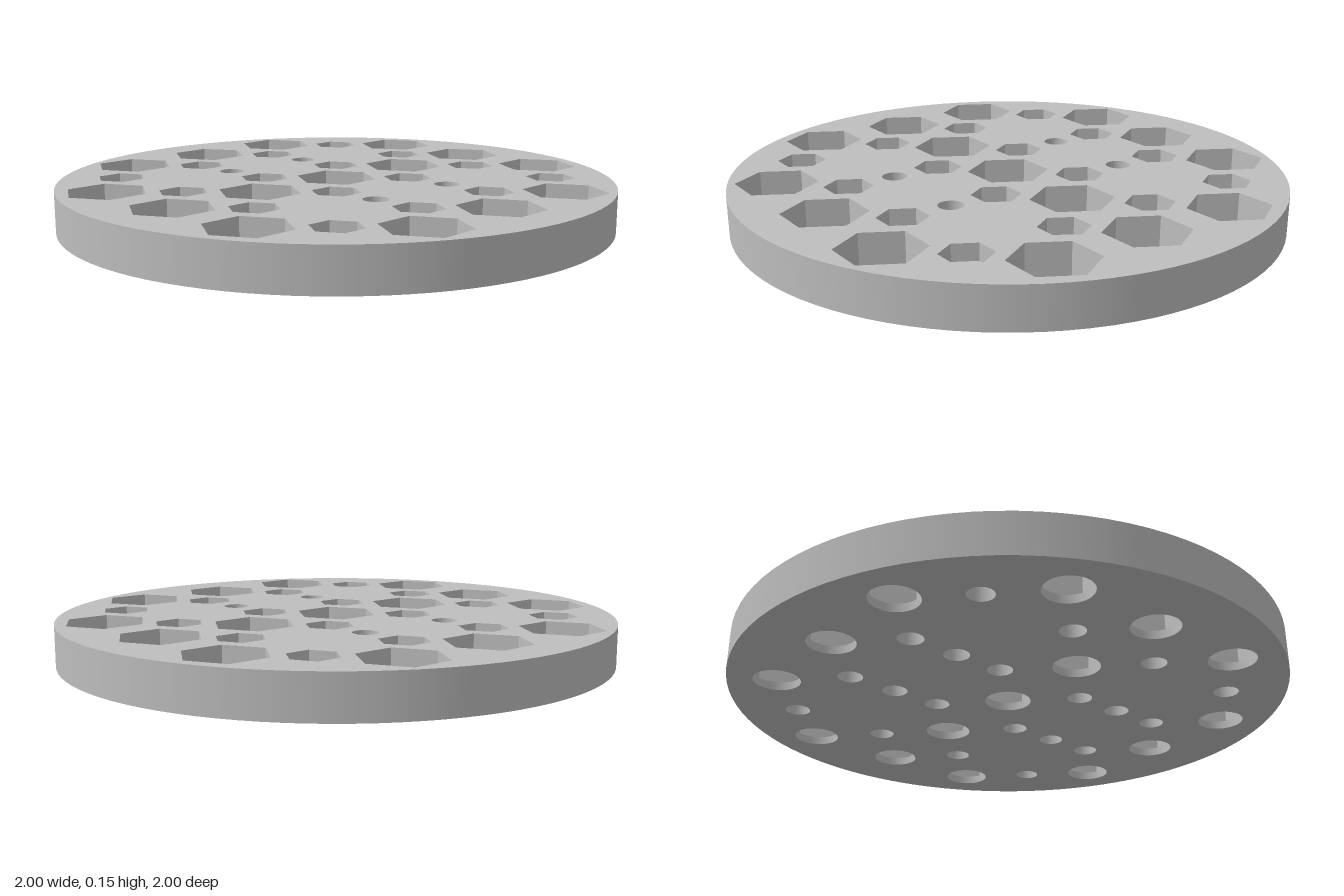
import * as THREE from 'three';
import { mergeGeometries } from 'three/addons/utils/BufferGeometryUtils.js';

const HEIGHT = 0.148, STEP = 0.37, ROUND = 32, RIM = 96;
const LARGE = { hole: 0.083, hex: 0.147, floor: 0.03 };
const SMALL = { hole: 0.045, hex: 0.088, floor: 0.088 };
const PLAIN = { hole: 0.045 };

// Regular polygon with a corner on the x axis
function ring(r, n, cx = 0, cz = 0) {
  return Array.from({ length: n }, (_, i) => {
    const a = (i / n) * Math.PI * 2;
    return new THREE.Vector2(cx + r * Math.cos(a), cz + r * Math.sin(a));
  });
}

// Horizontal face with holes, looking up or down
function plate(outline, holes, y, up = true) {
  const shape = new THREE.Shape(outline);
  shape.holes = holes.map((h) => new THREE.Path(h));
  const g = new THREE.ShapeGeometry(shape);
  g.rotateX(up ? -Math.PI / 2 : Math.PI / 2);
  return g.translate(0, y, 0);
}

// Inward-facing wall of a bore or pocket
function bore(r, n, y0, y1) {
  const g = new THREE.CylinderGeometry(r, r, y1 - y0, n, 1, true, Math.PI / 2);
  g.scale(-1, 1, 1);
  const nrm = g.attributes.normal;
  for (let i = 0; i < nrm.count; i++) nrm.setXYZ(i, -nrm.getX(i), nrm.getY(i), -nrm.getZ(i));
  g.translate(0, (y0 + y1) / 2, 0);
  if (n > 6) return g.toNonIndexed();
  const flat = g.toNonIndexed();
  flat.computeVertexNormals();
  return flat;
}

// Complete inner surface of one opening: bore, floor and hexagonal pocket
function openingGeometry({ hole, hex, floor }) {
  if (!hex) return bore(hole, ROUND, 0, HEIGHT);
  return mergeGeometries([
    bore(hole, ROUND, 0, floor),
    plate(ring(hex, 6), [ring(hole, ROUND)], floor).toNonIndexed(),
    bore(hex, 6, floor, HEIGHT),
  ]);
}

export function createModel() {
  const model = new THREE.Group();
  const grey = new THREE.MeshStandardMaterial({ color: 0xbebebe });
  grey.name = 'grey';
  const add = (name, geometry, x = 0, z = 0) => {
    const mesh = new THREE.Mesh(geometry, grey);
    mesh.name = name;
    mesh.position.set(x, 0, z);
    model.add(mesh);
  };

  // Opening layout in grid steps
  const large = [], small = [], plain = [];
  for (const s of [-1, 1]) {
    for (const x of [-1, 0, 1]) large.push([x, 2 * s]);
    for (const x of [-2, 2]) large.push([x, s]);
    for (const x of [-0.5, 0.5]) plain.push([x, s]);
  }
  for (let x = -2; x <= 2; x++) large.push([x, 0]);
  for (const x of [-1.5, -0.5, 0.5, 1.5])
    for (const z of [-1.5, -0.5, 0.5, 1.5]) small.push([x, z]);

  const topHoles = [], bottomHoles = [];
  const kinds = [
    ['largeNutPocket', LARGE, large],
    ['smallNutPocket', SMALL, small],
    ['plainHole', PLAIN, plain],
  ];
  for (const [name, kind, places] of kinds) {
    const geometry = openingGeometry(kind);
    for (const [i, j] of places) {
      const x = i * STEP, z = j * STEP;
      add(name, geometry, x, z);
      topHoles.push(kind.hex ? ring(kind.hex, 6, x, z) : ring(kind.hole, ROUND, x, z));
      bottomHoles.push(ring(kind.hole, ROUND, x, z));
    }
  }

  // Disc faces and rim
  add('discTop', plate(ring(1, RIM), topHoles, HEIGHT));
  add('discBottom', plate(ring(1, RIM), bottomHoles, 0, false));
  const rim = new THREE.CylinderGeometry(1, 1, HEIGHT, RIM, 1, true);
  add('discRim', rim.translate(0, HEIGHT / 2, 0));
  return model;
}
